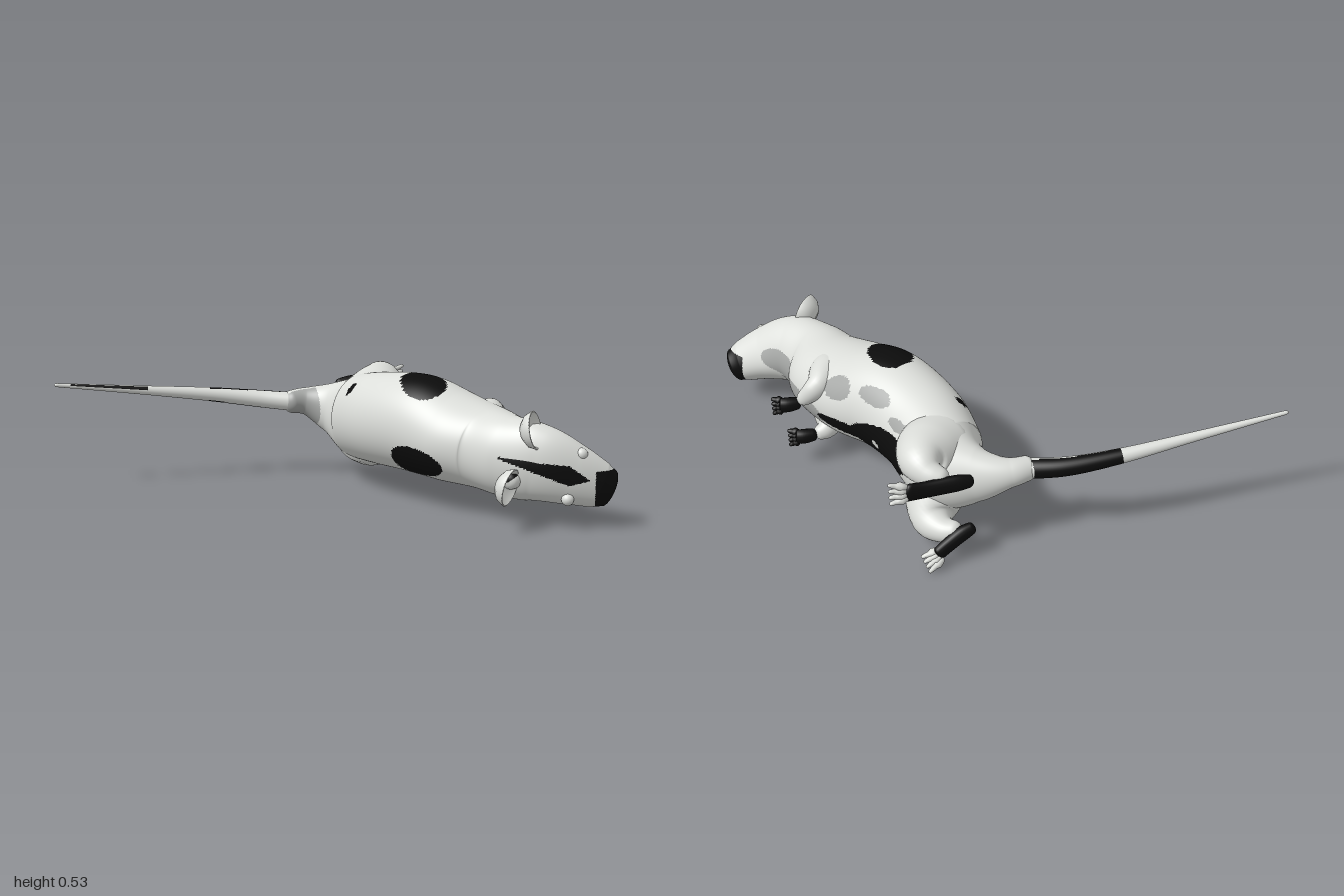
import * as THREE from 'three';

const makeMaterial = (name, color) => {
  const m = new THREE.MeshStandardMaterial({ color, side: THREE.DoubleSide });
  m.name = name;
  return m;
};

const LIGHT = 0, GREY = 1, BLACK = 2;

// true inside an ellipse on a flat projection, optionally tilted
function inEllipse(a, b, ca, cb, ra, rb, tilt = 0) {
  const p = a - ca, q = b - cb, c = Math.cos(tilt), s = Math.sin(tilt);
  return ((p * c + q * s) / ra) ** 2 + ((q * c - p * s) / rb) ** 2 < 1;
}

// Smooth skin through stations [x, y, z, halfWidth, halfHeight, egg];
// egg narrows the section toward the belly side,
// paint(point, outward) chooses the colour of every face
function loft(stations, rings, sides, paint, cap = 0.05) {
  const path = new THREE.CatmullRomCurve3(stations.map(s => new THREE.Vector3(s[0], s[1], s[2])));
  const size = new THREE.CatmullRomCurve3(stations.map(s => new THREE.Vector3(s[3], s[4] ?? s[3], s[5] ?? 0)));
  const pos = [], out = [], index = [[], [], []];
  const up = new THREE.Vector3(0, 1, 0);
  for (let i = 0; i <= rings; i++) {
    // rings crowd toward both ends so the caps are round
    const k = i / rings, t = k - Math.sin(2 * Math.PI * k) * 0.11;
    const e = Math.min(t, 1 - t) / cap;
    const f = e < 1 ? Math.sqrt(Math.max(0, 1 - (1 - e) ** 2)) : 1;
    const c = path.getPoint(t), r = size.getPoint(t), tan = path.getTangent(t);
    const u = up.clone().cross(tan).normalize(), v = tan.clone().cross(u);
    for (let j = 0; j < sides; j++) {
      const a = j / sides * Math.PI * 2, cos = Math.cos(a), sin = Math.sin(a);
      const p = c.clone().addScaledVector(u, r.x * cos * f).addScaledVector(v, r.y * sin * f * (1 - r.z * cos));
      pos.push(p.x, p.y, p.z);
      out.push([p, u.clone().multiplyScalar(cos).addScaledVector(v, sin)]);
    }
  }
  for (let i = 0; i < rings; i++) for (let j = 0; j < sides; j++) {
    const a = i * sides + j, b = i * sides + (j + 1) % sides, c = a + sides, d = b + sides;
    for (const tri of [[a, b, c], [b, d, c]]) {
      const mid = new THREE.Vector3();
      tri.forEach(n => mid.addScaledVector(out[n][0], 1 / 3));
      index[paint(mid, out[a][1])].push(...tri);
    }
  }
  const g = new THREE.BufferGeometry();
  g.setAttribute('position', new THREE.Float32BufferAttribute(pos, 3));
  g.setIndex(index.flat());
  let start = 0;
  index.forEach((list, m) => {
    if (list.length) g.addGroup(start, list.length, m);
    start += list.length;
  });
  g.computeVertexNormals();
  return g;
}

// grey belly patches [z, y, rz, ry, tilt]
const greyPatches = [
  [0.015, 0.41, 0.06, 0.045], [-0.14, 0.455, 0.07, 0.03], [-0.31, 0.165, 0.025, 0.05],
  [-0.08, 0.17, 0.06, 0.022], [-0.3, 0.42, 0.05, 0.02], [0.2, 0.25, 0.16, 0.05],
  [0.38, 0.26, 0.14, 0.06, 0.2], [0.3, 0.18, 0.15, 0.035, 0.1],
];

// coat markings of the body and head
function coat(p, n) {
  const { x, y, z } = p;
  // muzzle and forehead blaze
  if (x - 0.92 + (z - 0.62) * 0.5 > 0 && y < 0.235) return BLACK;
  if (n.z > 0 && z > 0.4 && x > 0.54) {
    const w = Math.min(0.004 + (x - 0.54) * 0.15, (0.86 - x) * 0.5);
    if (Math.abs(y - 0.28 + (x - 0.54) * 0.25) < w) return BLACK;
  }
  // grey tail root
  if (x < 0.14 && n.z > 0.3) return GREY;
  // round spots on the back and flanks
  if (n.y > 0.2 && inEllipse(x, z, 0.41, 0.055, 0.09, 0.125)) return BLACK;
  if (n.y > 0 && inEllipse(x, z, 0.2, -0.25, 0.022, 0.022)) return BLACK;
  if (n.x < 0.2 && n.z > -0.1 && z > -0.1 && inEllipse(x, y, 0.335, 0.2, 0.085, 0.048, -0.75)) return BLACK;
  // belly blaze with its light dot, and grey patches
  if (n.x > 0.1) {
    if (inEllipse(z, y, -0.2, 0.265, 0.018, 0.018)) return LIGHT;
    if (inEllipse(z, y, -0.25, 0.283, 0.19, 0.09, -0.25)) return BLACK;
    if (inEllipse(z, y, -0.06, 0.25, 0.135, 0.034)) return BLACK;
    if (greyPatches.some(q => inEllipse(z, y, ...q))) return GREY;
  }
  return LIGHT;
}

export function createModel() {
  const model = new THREE.Group();
  model.name = 'rat';
  const materials = [
    makeMaterial('light fur', 0xdcdeda),
    makeMaterial('grey fur', 0xa4a6a4),
    makeMaterial('black fur', 0x0c0c0c),
  ];
  const add = (name, geometry, material = materials) => {
    const mesh = new THREE.Mesh(geometry, material);
    mesh.name = name;
    model.add(mesh);
    return mesh;
  };

  // body and head in one skin, from tail root to nose
  add('bodyAndHead', loft([
    [0.0, 0.33, -0.575, 0.046, 0.046],
    [0.1, 0.33, -0.588, 0.055, 0.06],
    [0.21, 0.305, -0.535, 0.09, 0.115],
    [0.3, 0.285, -0.42, 0.17, 0.185],
    [0.345, 0.31, -0.2, 0.188, 0.2],
    [0.43, 0.32, 0.0, 0.2, 0.208],
    [0.52, 0.29, 0.145, 0.213, 0.19],
    [0.605, 0.27, 0.29, 0.19, 0.17, 0.05],
    [0.645, 0.26, 0.415, 0.152, 0.165, 0.1],
    [0.725, 0.252, 0.52, 0.122, 0.152, 0.25],
    [0.83, 0.212, 0.585, 0.098, 0.122, 0.3],
    [0.93, 0.168, 0.625, 0.074, 0.093, 0.25],
    [0.992, 0.143, 0.64, 0.052, 0.066, 0.1],
  ], 290, 160, coat, 0.03));

  // tapering tail, dark on its hind side near the root
  add('tail', loft([
    [0.06, 0.33, -0.575, 0.042],
    [-0.1, 0.345, -0.63, 0.038],
    [-0.3, 0.37, -0.66, 0.031],
    [-0.6, 0.405, -0.67, 0.02],
    [-1.0, 0.45, -0.68, 0.008],
  ], 90, 36, (p, n) => (p.x > -0.32 && p.x < 0.02 && n.z < 0.3 - (p.x + 0.1) * 1.2)
    || (p.x < -0.6 && p.x > -0.93 && n.z > 0.62 && n.y > 0.1) ? BLACK : LIGHT, 0.01));

  // a fan of tapered toes around a direction
  const toes = (name, [x, y, z], [dx, dy, dz], spread, count, radius, shade) => {
    for (let i = 0; i < count; i++) {
      const s = (i / (count - 1) - 0.5) * 2;
      const side = [spread[0] * s, spread[1] * s, spread[2] * s];
      const at = k => [x + dx * k + side[0] * (0.6 + k * 0.6), y + dy * k + side[1] * (0.6 + k * 0.6),
        z + dz * k + side[2] * (0.6 + k * 0.6)];
      add(name, loft([[...at(0), radius], [...at(0.6), radius], [...at(1), radius * 0.6]], 10, 8, () => shade, 0.12));
    }
  };
  const light = () => LIGHT, black = () => BLACK;

  // hind legs with long dark feet and light toes
  add('leftHindLeg', loft([
    [0.3, 0.335, -0.34, 0.155, 0.14], [0.395, 0.39, -0.45, 0.125, 0.115],
    [0.435, 0.415, -0.535, 0.085, 0.086], [0.42, 0.405, -0.595, 0.054, 0.056], [0.36, 0.39, -0.642, 0.034, 0.038],
  ], 36, 32, light, 0.1));
  add('leftHindFoot', loft([
    [0.265, 0.38, -0.65, 0.02, 0.025], [0.34, 0.385, -0.654, 0.026, 0.036],
    [0.45, 0.39, -0.662, 0.022, 0.036], [0.54, 0.4, -0.672, 0.019, 0.04],
  ], 24, 16, black, 0.08));
  toes('leftHindToe', [0.52, 0.4, -0.67], [0.08, 0.012, -0.008], [0, 0.032, 0.008], 4, 0.011, LIGHT);

  add('rightHindLeg', loft([
    [0.29, 0.24, -0.34, 0.155, 0.145], [0.37, 0.16, -0.45, 0.12, 0.118],
    [0.395, 0.115, -0.53, 0.084, 0.08], [0.37, 0.112, -0.595, 0.052, 0.052], [0.31, 0.125, -0.64, 0.034, 0.038],
  ], 36, 32, light, 0.1));
  add('rightHindFoot', loft([
    [0.26, 0.142, -0.642, 0.02, 0.024], [0.315, 0.122, -0.65, 0.026, 0.033],
    [0.37, 0.092, -0.662, 0.023, 0.033], [0.42, 0.06, -0.672, 0.02, 0.032],
  ], 24, 16, black, 0.08));
  toes('rightHindToe', [0.4, 0.06, -0.67], [0.07, -0.035, -0.008], [0.008, 0.02, 0.018], 4, 0.011, LIGHT);

  // forelegs folded toward the belly, with compact dark paws
  const foreleg = (name, arm, [x, y, z]) => {
    add(name + 'Foreleg', loft([...arm, [x - 0.045, y, z, 0.022, 0.024]], 32, 28, light, 0.1));
    add(name + 'Paw', loft([
      [x - 0.055, y, z, 0.022, 0.025], [x, y, z, 0.027, 0.032], [x + 0.035, y, z + 0.005, 0.02, 0.032],
    ], 16, 14, black, 0.15));
    toes(name + 'Finger', [x + 0.015, y, z + 0.004], [0.048, -0.008, 0.014], [0, 0.026, 0.008], 4, 0.011, BLACK);
  };
  foreleg('left', [[0.6, 0.33, 0.26, 0.1, 0.1], [0.655, 0.37, 0.17, 0.075, 0.075],
    [0.71, 0.37, 0.1, 0.045, 0.05]], [0.83, 0.285, 0.127]);
  foreleg('right', [[0.6, 0.22, 0.26, 0.1, 0.1], [0.645, 0.17, 0.17, 0.08, 0.075],
    [0.685, 0.145, 0.105, 0.042, 0.044]], [0.78, 0.138, 0.09]);

  // ears: shallow open bowls
  const bowl = new THREE.LatheGeometry([[0, -0.038], [0.036, -0.031], [0.064, -0.01], [0.077, 0.019], [0.071, 0.022],
    [0.056, -0.003], [0, -0.026]].map(p => new THREE.Vector2(...p)), 32);
  bowl.rotateX(Math.PI / 2);
  const ear = (name, at, facing) => {
    const mesh = add(name, bowl, materials[LIGHT]);
    mesh.position.set(...at);
    mesh.lookAt(at[0] + facing[0], at[1] + facing[1], at[2] + facing[2]);
  };
  ear('leftEar', [0.645, 0.395, 0.59], [0.75, 0.2, 0.7]);
  ear('rightEar', [0.545, 0.18, 0.59], [0.65, -0.2, 0.72]);

  // ear roots join the bowls to the head, with a dark inner side
  add('leftEarRoot', loft([[0.67, 0.34, 0.52, 0.045], [0.645, 0.38, 0.575, 0.03]], 16, 20,
    (p, n) => n.y < -0.4 ? BLACK : LIGHT, 0.2));
  add('rightEarRoot', loft([[0.62, 0.2, 0.52, 0.05], [0.56, 0.19, 0.575, 0.03]], 16, 20,
    (p, n) => n.y > 0.5 ? BLACK : LIGHT, 0.2));

  // eyes
  for (const [name, x, y, z] of [['leftEye', 0.838, 0.302, 0.653], ['rightEye', 0.785, 0.122, 0.65]]) {
    const mesh = add(name, new THREE.SphereGeometry(0.025, 20, 14), materials[LIGHT]);
    mesh.position.set(x, y, z);
  }
  return model;
}
